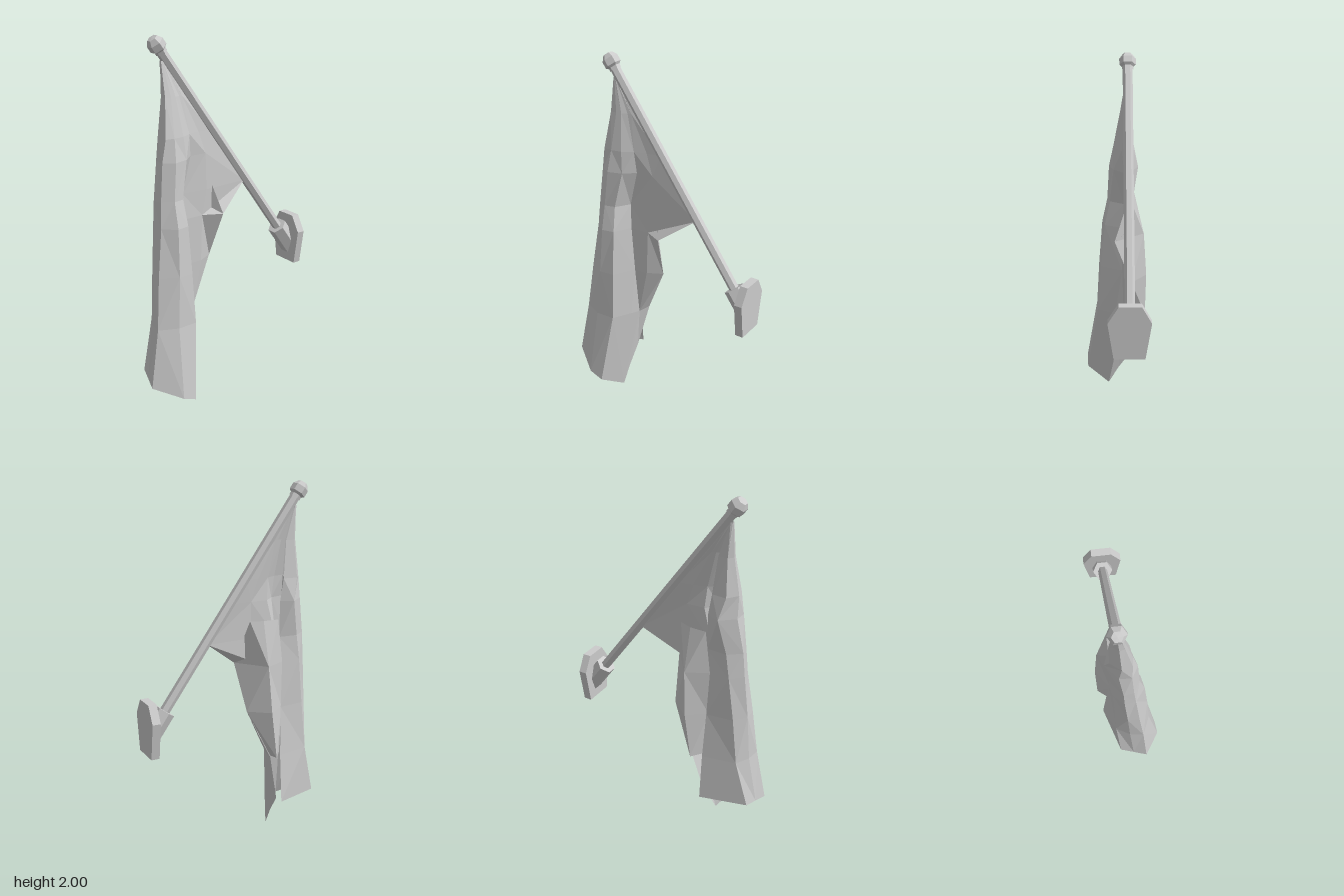
import * as THREE from 'three';

const material = new THREE.MeshStandardMaterial({ color: 0xcccccc, flatShading: true });
const clothMaterial = new THREE.MeshStandardMaterial({ color: 0xcccccc, flatShading: true, side: THREE.DoubleSide });

function part(name, geometry, parent, mat = material) {
  const mesh = new THREE.Mesh(geometry, mat);
  mesh.name = name;
  parent.add(mesh);
  return mesh;
}

// Skins a list of cross-sections (each a list of [x, y, z]) with alternating diagonals.
function sheet(rows) {
  const n = rows[0].length, index = [];
  for (let r = 0; r < rows.length - 1; r++) {
    for (let c = 0; c < n - 1; c++) {
      const a = r * n + c, b = a + 1, d = a + n, e = d + 1;
      if ((r + c) % 2) index.push(a, d, b, b, d, e);
      else index.push(a, d, e, a, e, b);
    }
  }
  const geometry = new THREE.BufferGeometry();
  geometry.setAttribute('position', new THREE.Float32BufferAttribute(rows.flat(2), 3));
  geometry.setIndex(index);
  geometry.computeVertexNormals();
  return geometry;
}

// A level cross-section from a height and [x, z] pairs.
const level = (y, ...points) => points.map(([x, z]) => [x, y, z]);

export function createModel() {
  const model = new THREE.Group();
  model.name = 'wallFlag';

  // Wall plate with its upper corners cut off and sides tapering downward
  const outline = [[-0.145, 0.63], [0.015, 0.63], [0.045, 0.83], [-0.01, 0.92], [-0.125, 0.92], [-0.175, 0.83]];
  const shape = new THREE.Shape(outline.map(([x, y]) => new THREE.Vector2(x, y)));
  const plate = new THREE.ExtrudeGeometry(shape, { depth: 0.045, bevelEnabled: false });
  part('wallPlate', plate.translate(0, 0, -0.543), model);

  // Everything on the slanted pole axis
  const tilt = Math.atan2(0.795, 1.103);
  const staff = new THREE.Group();
  staff.name = 'staff';
  staff.position.set(-0.068, 0.857, -0.43);
  staff.rotation.x = tilt;
  model.add(staff);

  // Socket, its lower end sheared flush with the plate
  const socket = new THREE.CylinderGeometry(0.056, 0.056, 0.2, 6, 1, false, Math.PI / 6).translate(0, -0.1, 0);
  const p = socket.attributes.position;
  for (let i = 0; i < p.count; i++) {
    if (p.getY(i) < -0.1) p.setY(i, (-0.07 - p.getZ(i) * Math.cos(tilt)) / Math.sin(tilt));
  }
  part('socket', socket, staff);

  const pole = new THREE.CylinderGeometry(0.027, 0.027, 1.35, 6, 1, false, Math.PI / 6);
  part('pole', pole.translate(0, 0.655, 0), staff);

  const profile = [[0.031, 1.308], [0.031, 1.325], [0.045, 1.336], [0.045, 1.372], [0.027, 1.398], [0, 1.4]];
  const finial = new THREE.LatheGeometry(profile.map(([r, y]) => new THREE.Vector2(r, y)), 6, Math.PI / 6);
  part('finial', finial, staff);

  // Cloth: main drape, from its right edge around the front to the left fold
  const flag = new THREE.Group();
  flag.name = 'flag';
  model.add(flag);
  const drape = [
    level(1.88, [-0.08, 0.335], [-0.075, 0.345], [-0.06, 0.345], [-0.06, 0.34], [-0.06, 0.337], [-0.06, 0.335]),
    level(1.70, [-0.085, 0.28], [-0.085, 0.33], [-0.03, 0.345], [-0.03, 0.31], [-0.035, 0.28], [-0.05, 0.25]),
    level(1.50, [-0.10, 0.26], [-0.105, 0.34], [0.005, 0.37], [0.01, 0.32], [0, 0.26], [-0.035, 0.2]),
    level(1.38, [-0.10, 0.24], [-0.13, 0.31], [0, 0.39], [0.035, 0.33], [0.01, 0.25], [-0.045, 0.19]),
    level(1.18, [-0.095, 0.24], [-0.10, 0.35], [0.01, 0.41], [0.045, 0.35], [0.03, 0.29], [-0.05, 0.24]),
    level(1.04, [-0.10, 0.26], [-0.10, 0.37], [0.02, 0.42], [0.075, 0.35], [0.06, 0.28], [-0.04, 0.23]),
    level(0.78, [-0.11, 0.25], [-0.09, 0.40], [0.04, 0.455], [0.095, 0.36], [0.085, 0.275], [-0.04, 0.21]),
    level(0.50, [-0.13, 0.24], [-0.09, 0.43], [0.065, 0.485], [0.11, 0.38], [0.105, 0.27], [0, 0.215]),
    [[-0.153, 0.22, 0.24], [-0.07, 0.21, 0.5], [0.085, 0.18, 0.543], [0.175, 0.11, 0.4], [0.17, 0.075, 0.32], [0.04, 0, 0.25]],
  ];
  // A ridge down the front, swelling at mid height
  const ridged = drape.map((row, i) => {
    const [a, b] = [row[1], row[2]];
    const swell = 0.04 * Math.sin((Math.PI * i) / (drape.length - 1));
    const ridge = [(a[0] + b[0]) / 2, (a[1] + b[1]) / 2, (a[2] + b[2]) / 2 + swell];
    return [...row.slice(0, 2), ridge, ...row.slice(2)];
  });
  part('mainDrape', sheet(ridged), flag, clothMaterial);

  // Cloth tied along the pole, running down into the rear fold and the hanging tail
  const rear = [
    level(1.88, [-0.065, 0.33], [-0.065, 0.325]),
    level(1.70, [-0.055, 0.23], [-0.068, 0.195]),
    level(1.50, [-0.055, 0.13], [-0.068, 0.05]),
    level(1.38, [-0.05, 0.09], [-0.068, -0.035]),
    level(1.18, [-0.045, 0.09], [-0.068, -0.18]),
    level(1.04, [-0.045, 0.12], [0.005, 0.015]),
    level(0.78, [-0.045, 0.13], [-0.09, 0.045]),
    level(0.50, [-0.05, 0.19], [-0.13, 0.175]),
    [[-0.02, 0.11, 0.245], [-0.095, 0.22, 0.24]],
  ].map((row, i) => [drape[i][5], ...row]);
  part('poleSideCloth', sheet(rear), flag, clothMaterial);

  // Rear fold turning back on the right side
  const fold = [
    level(1.28, [-0.075, 0.07], [-0.10, 0.14], [-0.10, 0.23]),
    level(1.04, [0.005, 0.015], [-0.16, 0.14], [-0.10, 0.26]),
    level(0.78, [-0.09, 0.045], [-0.178, 0.155], [-0.10, 0.26]),
    level(0.51, [-0.13, 0.175], [-0.175, 0.19], [-0.10, 0.25]),
  ];
  part('rearFold', sheet(fold), flag, clothMaterial);

  return model;
}
